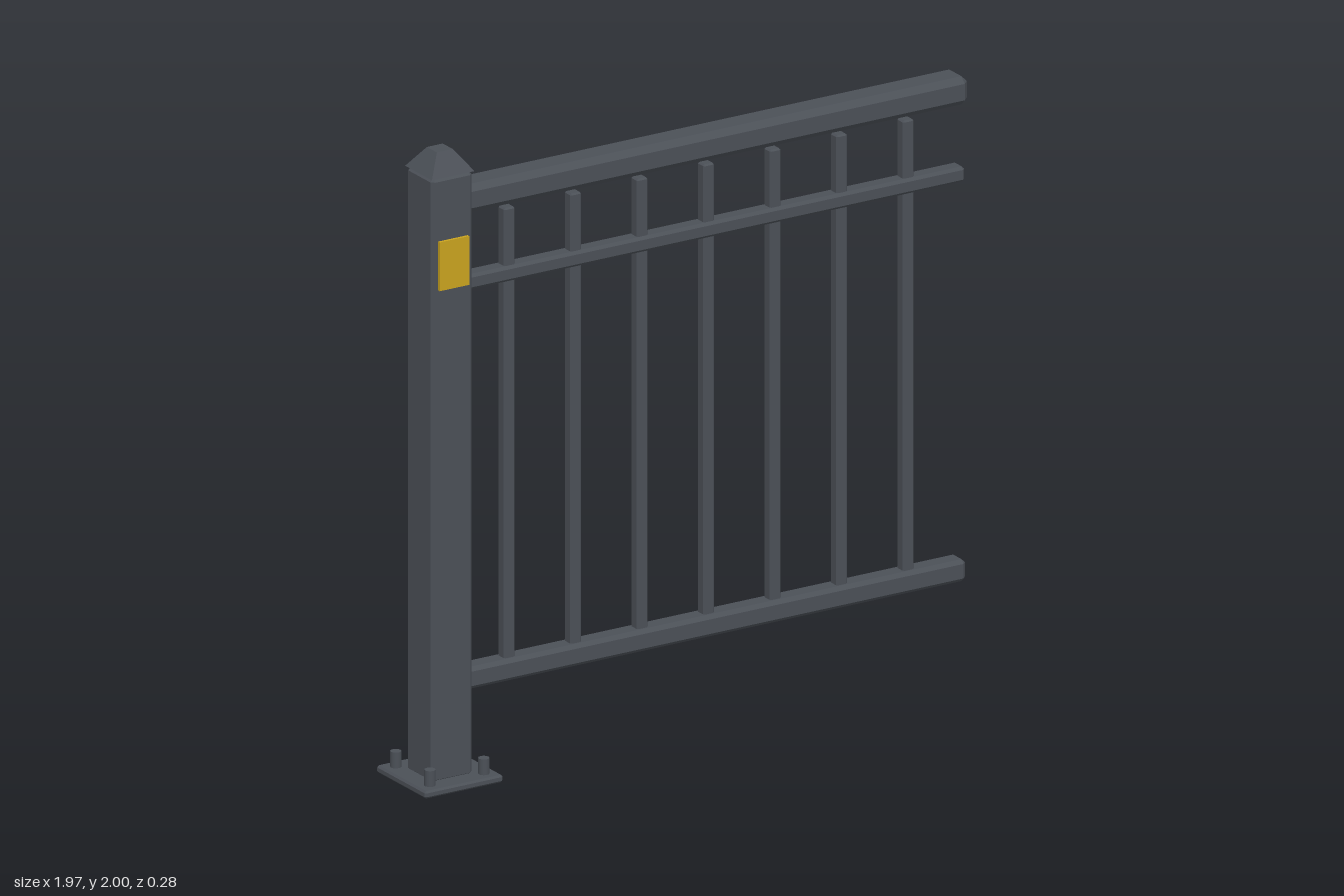
import * as THREE from 'three';
import { ConvexGeometry } from 'three/addons/geometries/ConvexGeometry.js';

const POST_X = -0.852;

// Box with flat 45 degree chamfers on every edge
function chamferBox(w, h, d, c) {
  const half = [w / 2, h / 2, d / 2];
  const points = [];
  for (const sx of [-1, 1]) for (const sy of [-1, 1]) for (const sz of [-1, 1]) {
    for (let full = 0; full < 3; full++) {
      const [x, y, z] = half.map((v, i) => (i === full ? v : v - c));
      points.push(new THREE.Vector3(sx * x, sy * y, sz * z));
    }
  }
  return new ConvexGeometry(points);
}

export function createModel() {
  const model = new THREE.Group();
  model.name = 'railingSection';
  const steel = new THREE.MeshStandardMaterial({ color: 0x4b5057 });
  steel.name = 'dark grey steel';
  const yellow = new THREE.MeshStandardMaterial({ color: 0xc9a31f });
  yellow.name = 'yellow marker';

  const add = (name, geometry, material, x, y, z = 0, parent = model) => {
    const mesh = new THREE.Mesh(geometry, material);
    mesh.name = name;
    mesh.position.set(x, y, z);
    parent.add(mesh);
    return mesh;
  };

  // Base plate with four anchor bolts
  add('basePlate', chamferBox(0.275, 0.024, 0.275, 0.006), steel, POST_X, 0.012);
  const boltGeometry = new THREE.CylinderGeometry(0.017, 0.017, 0.054, 12);
  for (const sx of [-1, 1]) for (const sz of [-1, 1]) {
    add('anchorBolt', boltGeometry, steel, POST_X + sx * 0.095, 0.047, sz * 0.095);
  }

  // Post with a sharp-cornered pyramidal cap
  add('post', chamferBox(0.145, 1.92, 0.145, 0.011), steel, POST_X, 0.975);
  const capGeometry = new THREE.CylinderGeometry(0.028 * Math.SQRT2, 0.075 * Math.SQRT2, 0.065, 4)
    .rotateY(Math.PI / 4).toNonIndexed();
  capGeometry.computeVertexNormals();
  add('postCap', capGeometry, steel, POST_X, 1.9675);

  // Marker plates on the front and back of the post
  for (const side of [-1, 1]) {
    add(side > 0 ? 'frontMarker' : 'backMarker',
      new THREE.BoxGeometry(0.104, 0.155, 0.0099), yellow, POST_X, 1.658, side * 0.0771);
  }

  // Horizontal rails: name, centre height, height, depth, chamfer
  const railStart = -0.79, railEnd = 0.985;
  for (const [name, y, h, d, c] of [
    ['topRail', 1.835, 0.09, 0.106, 0.019],
    ['middleRail', 1.5625, 0.049, 0.056, 0.009],
    ['bottomRail', 0.306, 0.07, 0.07, 0.012],
  ]) {
    add(name, chamferBox(railEnd - railStart, h, d, c), steel, (railStart + railEnd) / 2, y);
  }

  // Seven evenly spaced pickets
  const pickets = new THREE.Group();
  pickets.name = 'pickets';
  model.add(pickets);
  const picketGeometry = chamferBox(0.038, 1.445, 0.038, 0.005);
  for (let i = 0; i < 7; i++) {
    add('picket', picketGeometry, steel, -0.617 + i * 0.2345, 1.0475, 0, pickets);
  }

  return model;
}
